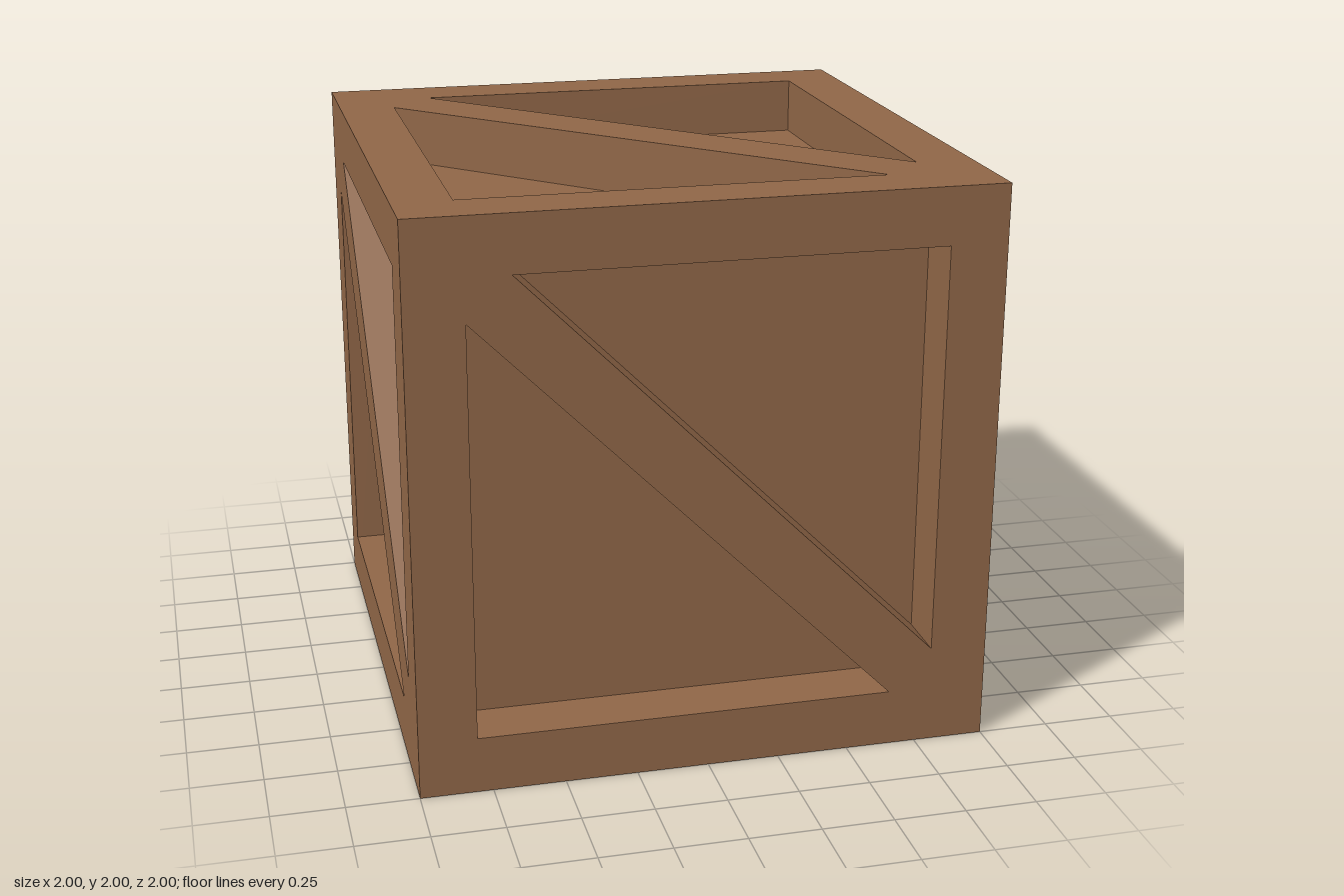
import * as THREE from 'three';

const HALF = 1;       // half of the crate's edge
const BEAM = 0.2;     // beam thickness and panel recess
const INNER = HALF - BEAM;
const CUT = 0.15;     // brace width, measured along the frame from its corner

export function createModel() {
  const crate = new THREE.Group();
  crate.name = 'crate';
  const wood = new THREE.MeshStandardMaterial({ color: 0x8f6647, flatShading: true });

  const add = (name, geometry, parent = crate) => {
    const mesh = new THREE.Mesh(geometry, wood);
    mesh.name = name;
    parent.add(mesh);
    return mesh;
  };

  // Recessed panels
  add('panels', new THREE.BoxGeometry(2 * INNER, 2 * INNER, 2 * INNER)).position.y = HALF;

  // Frame: full-height corner posts with rails fitted between them
  const post = new THREE.BoxGeometry(BEAM, 2 * HALF, BEAM);
  const railX = new THREE.BoxGeometry(2 * INNER, BEAM, BEAM);
  const railZ = new THREE.BoxGeometry(BEAM, BEAM, 2 * INNER);
  const c = HALF - BEAM / 2;
  for (const a of [-c, c]) {
    for (const b of [-c, c]) {
      add('cornerPost', post).position.set(a, HALF, b);
      add('crossRail', railX).position.set(0, HALF + a, b);
      add('sideRail', railZ).position.set(a, HALF + b, 0);
    }
  }

  // Diagonal brace, cut to fit the frame's corners
  const k = INNER;
  const outline = new THREE.Shape([
    [-k, k], [-k, k - CUT], [k - CUT, -k], [k, -k], [k, CUT - k], [CUT - k, k],
  ].map(([x, y]) => new THREE.Vector2(x, y)));
  const brace = new THREE.ExtrudeGeometry(outline, { depth: BEAM, bevelEnabled: false });
  brace.translate(0, 0, INNER);

  // One brace per face
  const q = Math.PI / 2;
  const faces = [
    ['frontBrace', 0, 0], ['leftBrace', 0, q], ['backBrace', 0, 2 * q],
    ['rightBrace', 0, -q], ['topBrace', -q, 0], ['bottomBrace', q, 0],
  ];
  for (const [name, rx, ry] of faces) {
    const mesh = add(name, brace);
    mesh.rotation.set(rx, ry, 0);
    mesh.position.y = HALF;
  }
  return crate;
}
